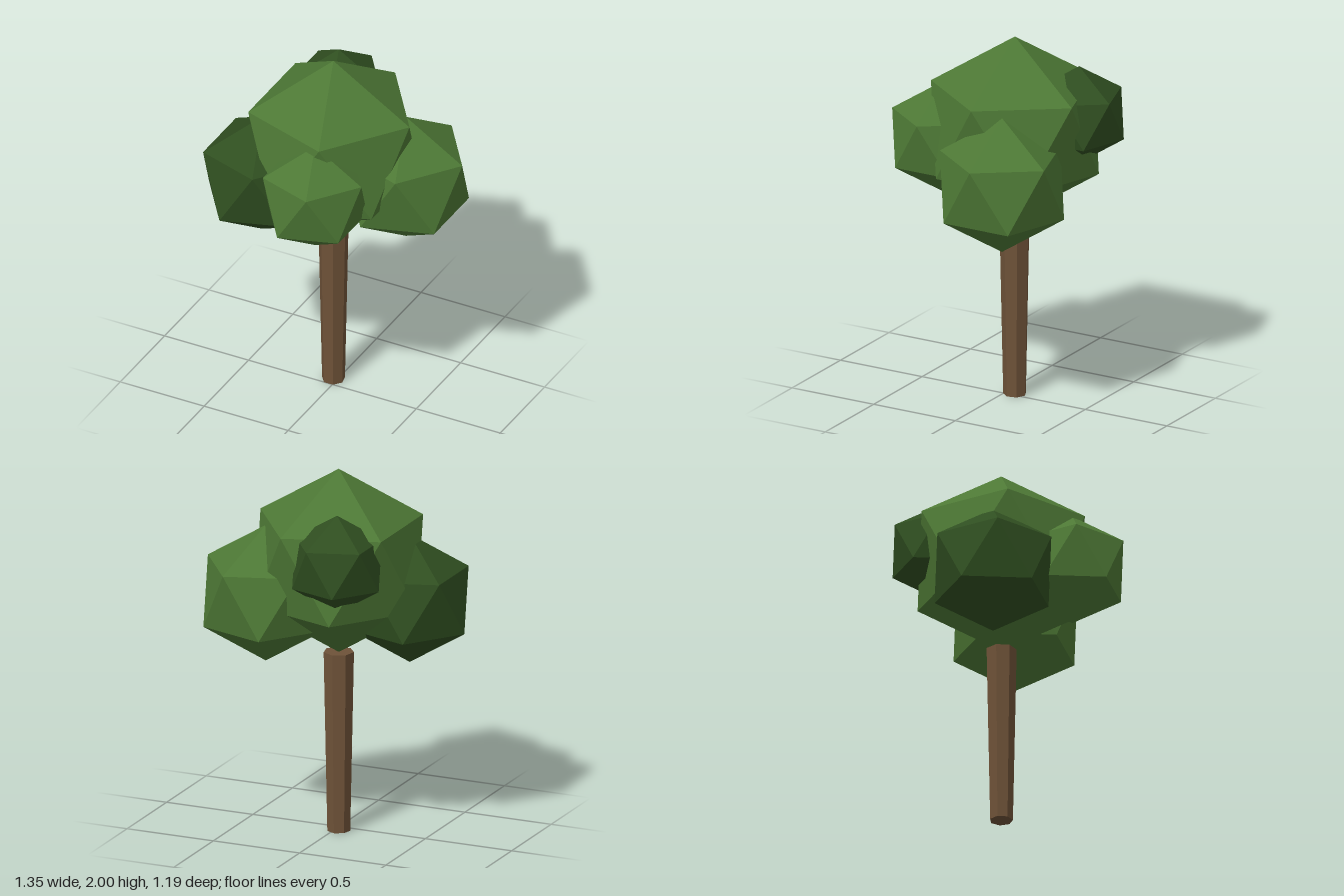
import * as THREE from 'three';

const material = (name, color) => {
  const m = new THREE.MeshStandardMaterial({ color, flatShading: true });
  m.name = name;
  return m;
};

// Regular icosahedron standing on a corner: two poles and two staggered rings of five
function clumpGeometry(r) {
  const ring = (y, turn) => Array.from({ length: 5 }, (_, i) => {
    const a = (i + turn) * Math.PI * 2 / 5;
    return new THREE.Vector3(Math.cos(a) * r * 0.8944, y, Math.sin(a) * r * 0.8944);
  });
  const top = new THREE.Vector3(0, r, 0);
  const bottom = new THREE.Vector3(0, -r, 0);
  const upper = ring(r * 0.4472, 0);
  const lower = ring(-r * 0.4472, 0.5);
  const points = [];
  for (let i = 0; i < 5; i++) {
    const j = (i + 1) % 5;
    points.push(
      upper[i], top, upper[j],
      upper[i], upper[j], lower[i],
      lower[i], upper[j], lower[j],
      lower[i], lower[j], bottom
    );
  }
  const geometry = new THREE.BufferGeometry().setFromPoints(points);
  geometry.computeVertexNormals();
  return geometry;
}

export function createModel() {
  const bark = material('bark brown', 0x6e5238);
  const leaf = material('leaf green', 0x4d7835);
  const darkLeaf = material('dark leaf green', 0x2f4e20);

  const tree = new THREE.Group();
  tree.name = 'tree';

  const add = (name, geometry, mat, x, y, z) => {
    const mesh = new THREE.Mesh(geometry, mat);
    mesh.name = name;
    mesh.position.set(x, y, z);
    tree.add(mesh);
    return mesh;
  };

  // Seven-sided trunk, widening towards the crown
  const trunk = add('trunk', new THREE.CylinderGeometry(0.082, 0.062, 0.99, 7), bark, -0.023, 0.495, -0.055);
  trunk.rotation.y = Math.PI;

  // Foliage clumps: name, material, radius, centre
  const clumps = [
    ['crownFoliage', leaf, 0.507, -0.023, 1.493, -0.055],
    ['leftFoliage', leaf, 0.375, 0.338, 1.305, -0.19],
    ['rightFoliage', darkLeaf, 0.354, -0.362, 1.284, 0.103],
    ['frontFoliage', leaf, 0.31, 0.069, 1.4, 0.328],
    ['backFoliage', darkLeaf, 0.27, -0.157, 1.58, -0.369],
  ];
  for (const [name, mat, r, x, y, z] of clumps) add(name, clumpGeometry(r), mat, x, y, z);

  return tree;
}
